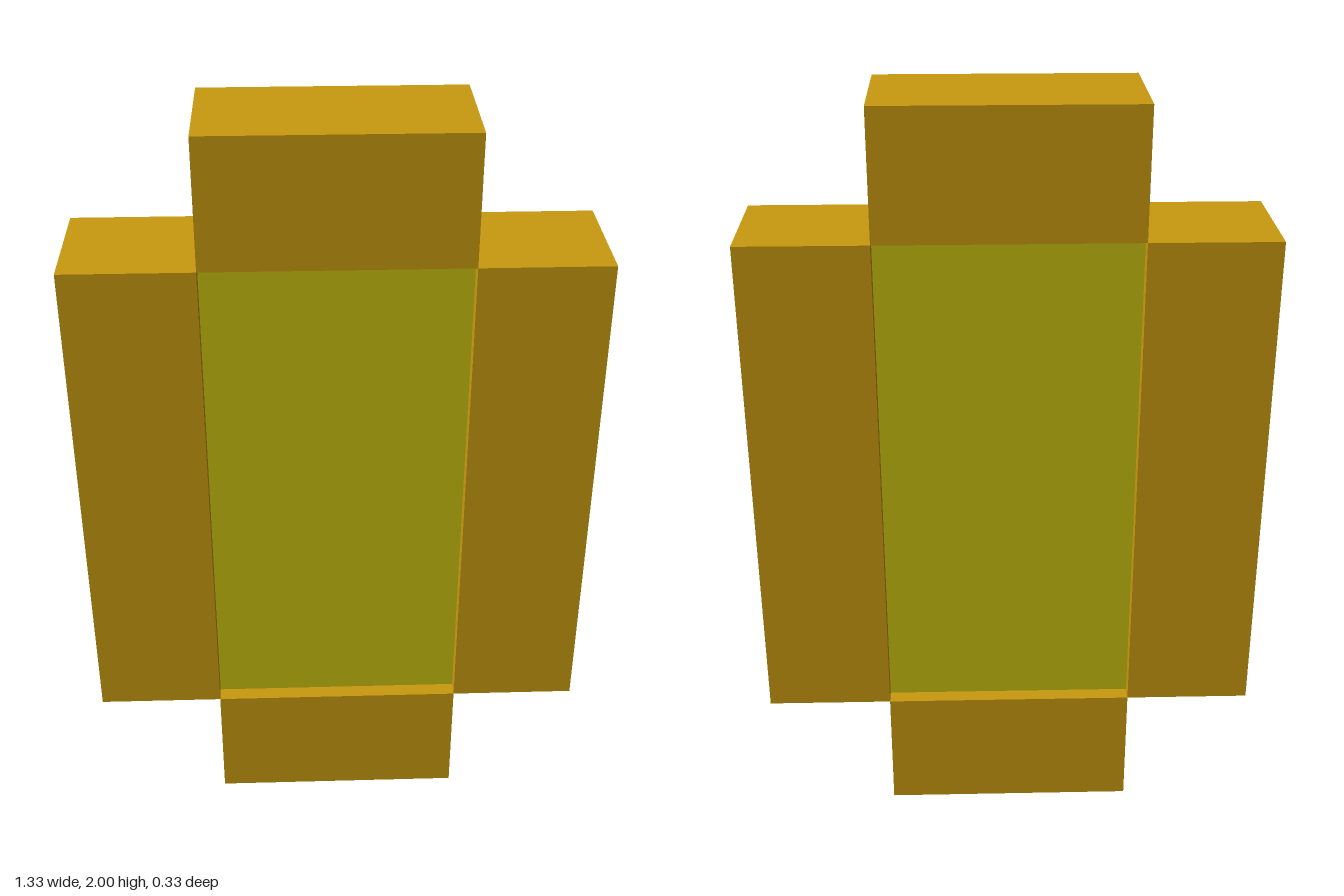
import * as THREE from 'three';

export function createModel() {
  const model = new THREE.Group();
  const gold = new THREE.MeshStandardMaterial({ color: 0xc99a10 });
  const yellow = new THREE.MeshStandardMaterial({ color: 0xc8c00e });
  const u = 1 / 3; // thickness of the border bars

  function box(name, w, h, d, x, y, material) {
    const mesh = new THREE.Mesh(new THREE.BoxGeometry(w, h, d), material);
    mesh.name = name;
    mesh.position.set(x, y, 0);
    model.add(mesh);
  }

  // Centre panel, recessed on both faces
  box('centrePanel', 2 * u, 4 * u, 0.25, 0, 1, yellow);

  // Border bars, leaving the corners open
  for (const s of [-1, 1]) {
    box(s > 0 ? 'leftBar' : 'rightBar', u, 4 * u, u, s * 1.5 * u, 1, gold);
    box(s > 0 ? 'topBar' : 'bottomBar', 2 * u, u, u, 0, 1 + s * 2.5 * u, gold);
  }

  return model;
}
